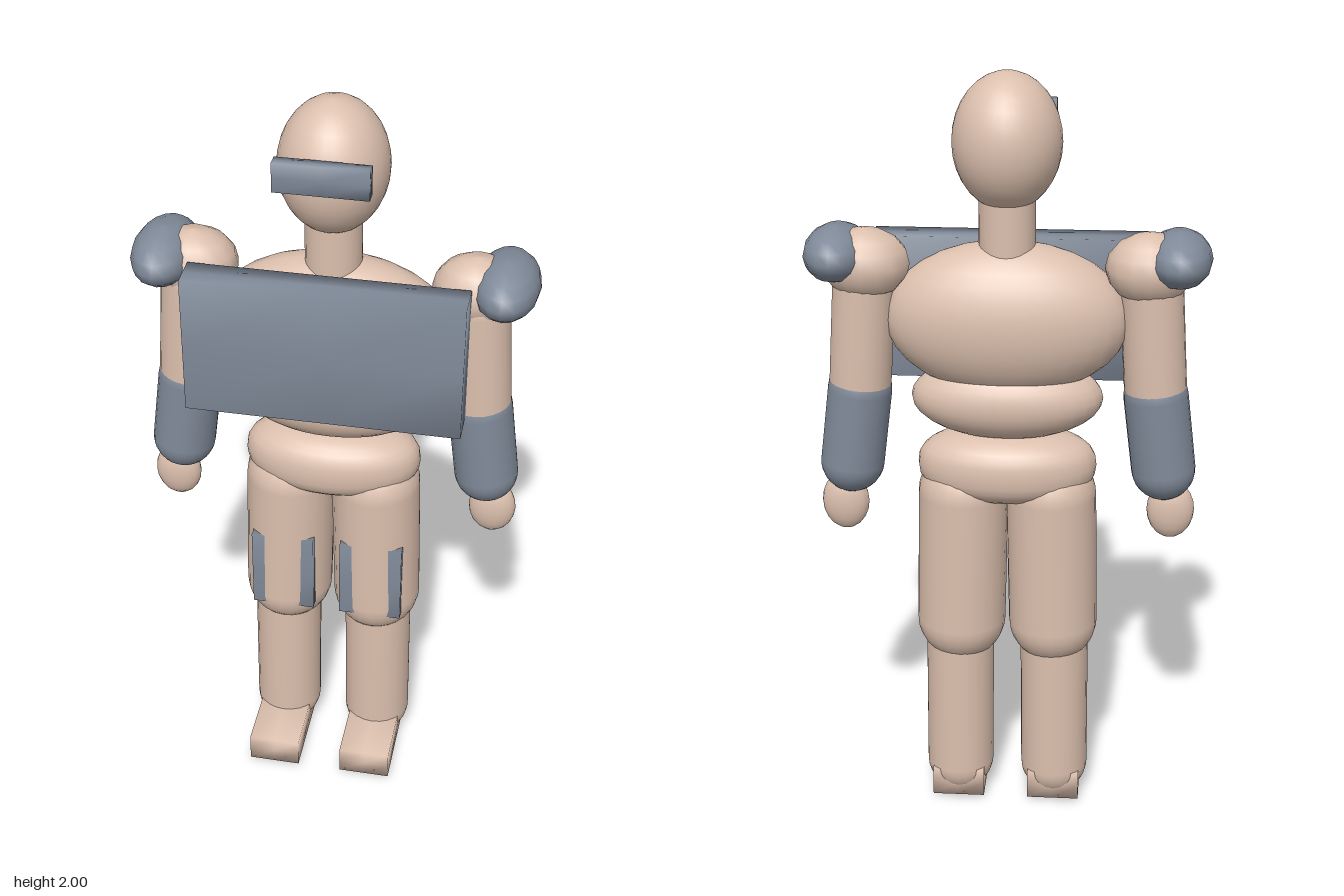
import * as THREE from 'three';
import { mergeVertices } from 'three/addons/utils/BufferGeometryUtils.js';

const skin = new THREE.MeshStandardMaterial({ color: 0xdcc0ae });
const armor = new THREE.MeshStandardMaterial({ color: 0x808a99 });
const Z = -0.035; // depth of the body axis

function add(parent, name, geometry, material) {
  const mesh = new THREE.Mesh(geometry, material);
  mesh.name = name;
  parent.add(mesh);
  return mesh;
}

// Ellipsoid; boxy < 1 pushes its profile outwards towards a rounded box
function blob(parent, name, material, pos, radii, segs = 32, boxy = 1) {
  const g = new THREE.SphereGeometry(1, segs, Math.max(8, segs / 2));
  const p = g.attributes.position;
  for (let i = 0; i < p.count; i++) {
    const y = p.getY(i);
    const r = Math.hypot(p.getX(i), p.getZ(i));
    const k = r > 1e-6 ? Math.pow(r, boxy) / r : 1;
    p.setXYZ(i, p.getX(i) * k, Math.sign(y) * Math.pow(Math.abs(y), boxy), p.getZ(i) * k);
  }
  g.scale(...radii);
  g.computeVertexNormals();
  add(parent, name, g, material).position.set(...pos);
}

// Round-ended limb between two points
function limb(parent, name, material, a, b, radius) {
  const from = new THREE.Vector3(...a), to = new THREE.Vector3(...b);
  const dir = to.clone().sub(from);
  const mesh = add(parent, name, new THREE.CapsuleGeometry(radius, dir.length(), 8, 24), material);
  mesh.position.copy(from).add(to).multiplyScalar(0.5);
  mesh.quaternion.setFromUnitVectors(new THREE.Vector3(0, 1, 0), dir.normalize());
}

// Box between two corners, with normals blended over its edges
function softBox(parent, name, material, min, max) {
  const size = max.map((v, i) => v - min[i]);
  let g = new THREE.BoxGeometry(...size, 2, 2, 2);
  g.deleteAttribute('normal');
  g.deleteAttribute('uv');
  g = mergeVertices(g);
  g.computeVertexNormals();
  add(parent, name, g, material).position.set(...max.map((v, i) => (v + min[i]) / 2));
}

export function createModel() {
  const model = new THREE.Group();
  model.name = 'armoredFigure';

  // Head and neck
  blob(model, 'head', skin, [0, 1.83, Z], [0.136, 0.17, 0.145]);
  softBox(model, 'visor', armor, [-0.115, 1.83, 0.097], [0.115, 1.905, 0.13]);
  add(model, 'neck', new THREE.CylinderGeometry(0.071, 0.071, 0.2, 24), skin).position.set(0, 1.61, Z);

  // Torso
  blob(model, 'chest', skin, [0, 1.38, Z], [0.31, 0.2, 0.147]);
  blob(model, 'belly', skin, [0, 1.17, Z], [0.246, 0.11, 0.12]);
  blob(model, 'pelvis', skin, [0, 0.985, Z], [0.232, 0.097, 0.13], 32, 0.8);
  softBox(model, 'chestPlate', armor, [-0.35, 1.19, 0.04], [0.35, 1.565, 0.13]);

  for (const s of [1, -1]) {
    const side = s > 0 ? 'left' : 'right';

    // Arm
    const arm = new THREE.Group();
    arm.name = side + 'Arm';
    blob(arm, 'shoulder', skin, [s * 0.355, 1.52, Z - 0.01], [0.112, 0.09, 0.095], 16);
    blob(arm, 'shoulderGuard', armor, [s * 0.427, 1.545, Z - 0.004], [0.083, 0.07, 0.14], 16);
    limb(arm, 'upperArm', skin, [s * 0.36, 1.48, Z], [s * 0.378, 1.2, Z], 0.08);
    limb(arm, 'forearmGuard', armor, [s * 0.38, 1.18, Z], [s * 0.405, 0.98, Z], 0.083);
    blob(arm, 'hand', skin, [s * 0.427, 0.865, Z], [0.062, 0.08, 0.036], 20);

    // Leg
    const leg = new THREE.Group();
    leg.name = side + 'Leg';
    limb(leg, 'thigh', skin, [s * 0.115, 0.9, Z], [s * 0.123, 0.535, Z], 0.118);
    limb(leg, 'calf', skin, [s * 0.127, 0.5, Z], [s * 0.13, 0.091, Z], 0.091);
    const cx = s * 0.13, gx = s * 0.12;
    softBox(leg, 'foot', skin, [cx - 0.07, 0.01, -0.11], [cx + 0.07, 0.09, 0.185]);
    softBox(leg, 'thighGuard', armor, [gx - 0.084, 0.515, 0.035], [gx + 0.084, 0.75, 0.071]);

    model.add(arm, leg);
  }
  return model;
}
